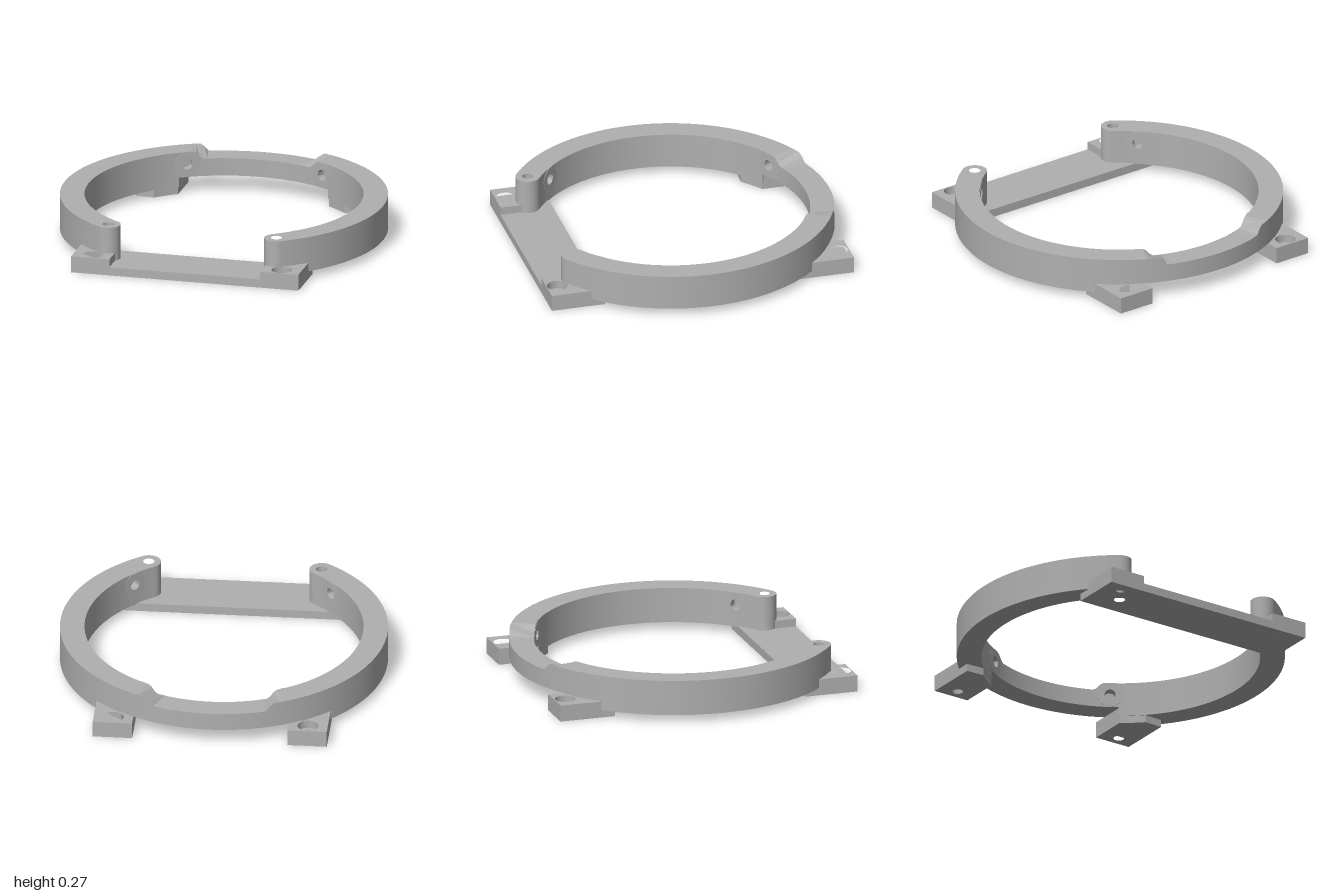
import * as THREE from 'three';
import { toCreasedNormals } from 'three/addons/utils/BufferGeometryUtils.js';

const R_IN = 0.85, R_OUT = 1, ZC = 0.027;
const LOW = 0.047, THIN_LOW = 0.105, THIN_TOP = 0.216, TOP = 0.266;
const rad = THREE.MathUtils.degToRad;

// Point on the ring plan; angle in degrees from the front (+z) towards +x
const polar = (deg, r) => [r * Math.sin(rad(deg)), ZC + r * Math.cos(rad(deg))];

export function createModel() {
  const model = new THREE.Group();
  const grey = new THREE.MeshStandardMaterial({ color: 0xb0b0b0 });
  grey.name = 'grey';

  const add = (name, geometry, parent = model) => {
    const mesh = new THREE.Mesh(geometry, grey);
    mesh.name = name;
    parent.add(mesh);
    return mesh;
  };

  // Flat slab from a plan outline of [x, z] points, with round holes [x, z, r]
  const slab = (points, holes, y0, y1) => {
    const shape = new THREE.Shape(points.map(([x, z]) => new THREE.Vector2(x, -z)));
    for (const [x, z, r] of holes) {
      shape.holes.push(new THREE.Path().absarc(x, -z, r, 0, Math.PI * 2, true));
    }
    const g = new THREE.ExtrudeGeometry(shape, { depth: y1 - y0, bevelEnabled: false, curveSegments: 20 });
    g.rotateX(-Math.PI / 2).translate(0, y0, 0);
    return toCreasedNormals(g, 0.6);
  };

  // Ring sector with a rectangular section; the top may vary with x
  const sector = (d0, d1, rIn, bottom, top) => {
    const [a, b] = [Math.min(d0, d1), Math.max(d0, d1)];
    const n = Math.max(2, Math.ceil((b - a) / 1.5));
    const pos = [];
    const station = (i) => {
      const deg = a + ((b - a) * i) / n;
      const [xi, zi] = polar(deg, rIn), [xo, zo] = polar(deg, R_OUT);
      return [[xi, bottom, zi], [xo, bottom, zo], [xo, top(xo), zo], [xi, top(xi), zi]];
    };
    const quad = (p, q, r, s) => pos.push(...p, ...q, ...r, ...p, ...r, ...s);
    for (let i = 0; i < n; i++) {
      const s0 = station(i), s1 = station(i + 1);
      for (let k = 0; k < 4; k++) {
        const m = (k + 1) % 4;
        quad(s0[k], s1[k], s1[m], s0[m]);
      }
    }
    quad(...station(0));
    quad(...station(n).reverse());
    const g = new THREE.BufferGeometry();
    g.setAttribute('position', new THREE.Float32BufferAttribute(pos, 3));
    return toCreasedNormals(g, 0.6);
  };

  const flat = () => TOP;
  // Smooth step down to the thin rear bridge
  const ramp = (x) => THIN_TOP + (TOP - THIN_TOP) * THREE.MathUtils.smoothstep(Math.abs(x), 0.335, 0.39);

  // Radial screw seat: wall panel with a blind hole, and a flat raised disc
  const HOLE_Y = 0.187, HOLE_R = 0.034;
  const screwSeat = (deg, bottom, parent) => {
    const hole = () => new THREE.Path().absarc(0, 0, HOLE_R, 0, Math.PI * 2, true);
    const w = 0.041, lo = bottom - HOLE_Y, hi = TOP - HOLE_Y;
    const panel = new THREE.Shape([[-w, lo], [w, lo], [w, hi], [-w, hi]].map((p) => new THREE.Vector2(...p)));
    const disc = new THREE.Shape().absarc(0, 0, 0.079, 0, Math.PI * 2, false);
    for (const [name, shape, r, depth] of [['screwPanel', panel, 0.902, 0.053], ['screwBoss', disc, 0.876, 0.03]]) {
      shape.holes.push(hole());
      const g = new THREE.ExtrudeGeometry(shape, { depth, bevelEnabled: false, curveSegments: 24 });
      const mesh = add(name, toCreasedNormals(g, 0.6), parent);
      const [x, z] = polar(deg, r);
      mesh.position.set(x, HOLE_Y, z);
      mesh.rotation.y = rad(deg) + Math.PI;
    }
  };

  // Clamp ring, one mirrored half at a time
  const PIN = 34.9, R_MID = 0.925, CAP = 0.075, PIN_R = 0.034;
  for (const s of [1, -1]) {
    const half = new THREE.Group();
    half.name = s > 0 ? 'leftRingHalf' : 'rightRingHalf';
    model.add(half);

    const pieces = [
      [40, 42.4, R_IN, LOW, flat],
      [42.4, 47.6, 0.9, LOW, flat],
      [47.6, 146.5, R_IN, LOW, flat],
      [146.5, 147.4, R_IN, THIN_LOW, flat],
      [147.4, 152.6, 0.9, THIN_LOW, flat],
      [152.6, 180, R_IN, THIN_LOW, ramp],
    ];
    for (const [a, b, r, y0, top] of pieces) add('ringSector', sector(s * a, s * b, r, y0, top), half);
    screwSeat(s * 45, LOW, half);
    screwSeat(s * 150, THIN_LOW, half);

    // Rounded arm end with a vertical pin hole
    const [cx, cz] = polar(PIN, R_MID);
    const outline = [];
    for (let i = 0; i < 4; i++) outline.push(polar(40 - ((40 - PIN) * i) / 4, R_OUT));
    for (let i = 0; i <= 20; i++) {
      const f = (Math.PI * i) / 20, t = rad(PIN);
      outline.push([
        cx + CAP * (Math.cos(f) * Math.sin(t) - Math.sin(f) * Math.cos(t)),
        cz + CAP * (Math.cos(f) * Math.cos(t) + Math.sin(f) * Math.sin(t)),
      ]);
    }
    for (let i = 1; i <= 4; i++) outline.push(polar(PIN + ((40 - PIN) * i) / 4, R_IN));
    const side = (pts) => pts.map(([x, z]) => [s * x, z]);
    add('armEnd', slab(side(outline), [[s * cx, cz, PIN_R]], LOW, TOP), half);

    // Rear mounting foot, trimmed along the ring's inner edge, with a counterbore
    const foot = [[0.475, -0.935], [0.716, -0.935], [0.716, -0.585]];
    for (let i = 0; i <= 6; i++) foot.push(polar(135.4 + (10.8 * i) / 6, 0.853));
    add('rearFootBase', slab(side(foot), [[s * 0.595, -0.865, 0.033]], 0, 0.052));
    add('rearFootTop', slab(side(foot), [[s * 0.595, -0.865, 0.063]], 0.052, 0.102));

    // Raised front pad with a counterbore
    const pad = [[0.475, 0.972], [0.716, 0.972], [0.716, 0.71], [0.64, 0.71], [0.475, 0.81]];
    add('frontPad', slab(side(pad), [[s * 0.595, 0.905, 0.063], [s * cx, cz, PIN_R]], 0.052, 0.102));
  }

  // Front base plate joining both arm ends
  const [px, pz] = polar(PIN, R_MID);
  const holes = [1, -1].flatMap((s) => [[s * 0.595, 0.905, 0.033], [s * px, pz, PIN_R]]);
  add('frontPlate', slab([[-0.716, 0.637], [0.716, 0.637], [0.716, 0.972], [-0.716, 0.972]], holes, 0, 0.052));

  return model;
}
